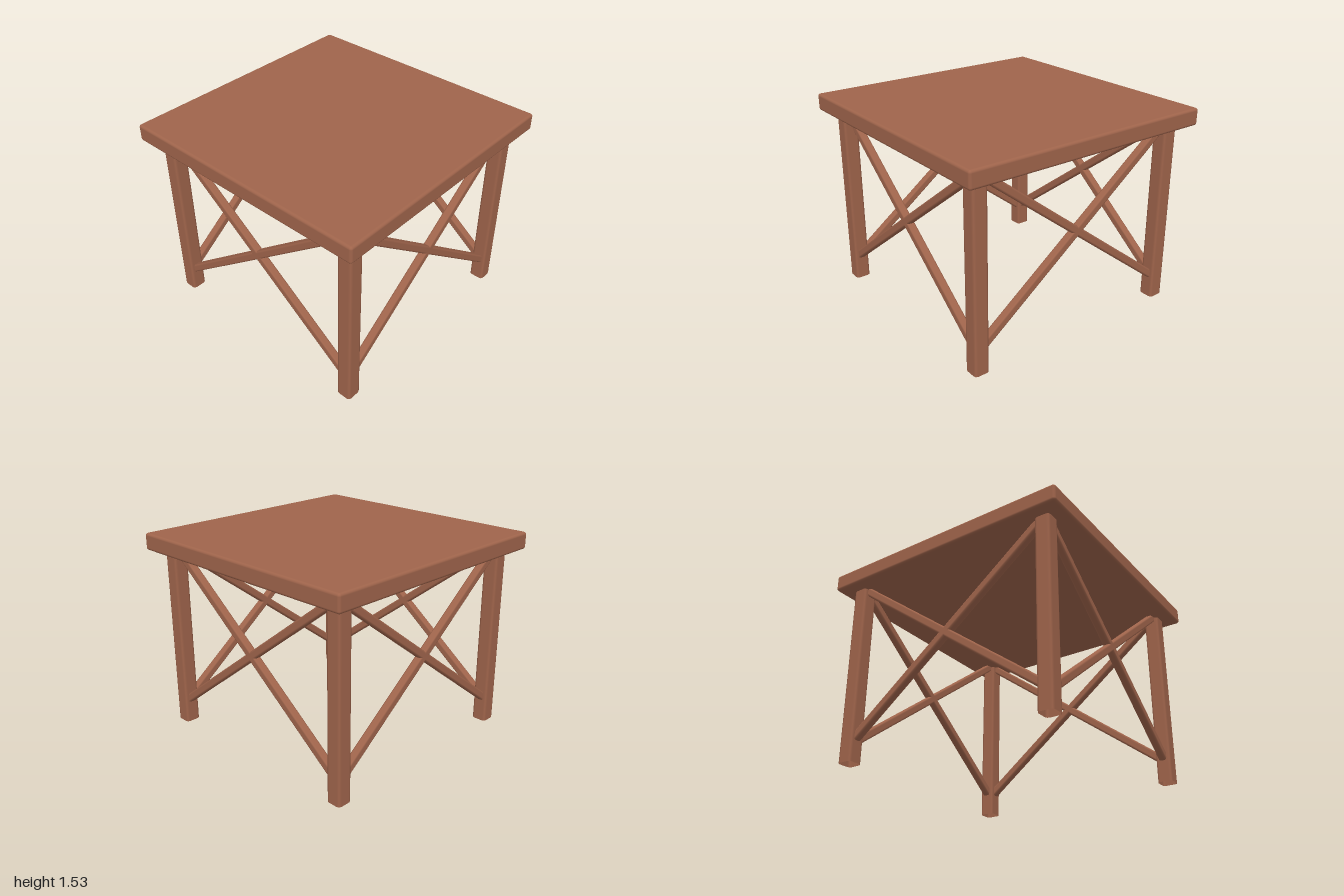
import * as THREE from 'three';
import { RoundedBoxGeometry } from 'three/addons/geometries/RoundedBoxGeometry.js';

const wood = new THREE.MeshStandardMaterial({ color: 0x9f644b, side: THREE.DoubleSide });
wood.name = 'brown wood';

// Open square bar along y with softly rounded edges
function barGeometry(width, length, radius) {
  const geo = new THREE.CylinderGeometry(1, 1, length, 12, 1, true);
  const pos = geo.attributes.position, nor = geo.attributes.normal;
  const inner = width / 2 - radius;
  for (let i = 0; i < pos.count; i++) {
    const n = (i % 13) % 12;
    const corner = Math.floor(n / 3);
    const a = (corner + (n % 3) / 2) * Math.PI / 2;
    const c = (corner + 0.5) * Math.PI / 2;
    pos.setX(i, Math.sign(Math.sin(c)) * inner + Math.sin(a) * radius);
    pos.setZ(i, Math.sign(Math.cos(c)) * inner + Math.cos(a) * radius);
    nor.setXYZ(i, Math.sin(a), 0, Math.cos(a));
  }
  return geo;
}

// Bar running between two points
function bar(name, from, to, width, radius) {
  const dir = to.clone().sub(from);
  const mesh = new THREE.Mesh(barGeometry(width, dir.length(), radius), wood);
  mesh.name = name;
  mesh.position.copy(from).add(to).multiplyScalar(0.5);
  mesh.quaternion.setFromUnitVectors(new THREE.Vector3(0, 1, 0), dir.normalize());
  return mesh;
}

export function createModel() {
  const table = new THREE.Group();
  table.name = 'table';

  // Thick top with eased edges
  const top = new THREE.Mesh(new RoundedBoxGeometry(2, 0.13, 2, 3, 0.02), wood);
  top.name = 'tableTop';
  top.position.y = 1.47;
  table.add(top);

  // Legs
  const V = (x, y, z) => new THREE.Vector3(x, y, z);
  const xs = [-0.842, 0.848], zs = [0.833, -0.837];
  for (const x of xs) for (const z of zs) {
    table.add(bar('leg', V(x, 0, z), V(x, 1.42, z), 0.118, 0.022));
  }

  // Crossed braces between neighbouring legs, ends set into the legs
  const e = 0.815, low = 0.175, high = 1.425;
  for (const z of zs) {
    table.add(bar('crossBrace', V(-e, low, z), V(e, high, z), 0.062, 0.015));
    table.add(bar('crossBrace', V(e, low + 0.01, z), V(-e, high - 0.01, z), 0.062, 0.015));
  }
  for (const x of xs) {
    table.add(bar('sideCrossBrace', V(x, low + 0.01, e), V(x, high - 0.01, -e), 0.062, 0.015));
    table.add(bar('sideCrossBrace', V(x, low, -e), V(x, high, e), 0.062, 0.015));
  }
  return table;
}
